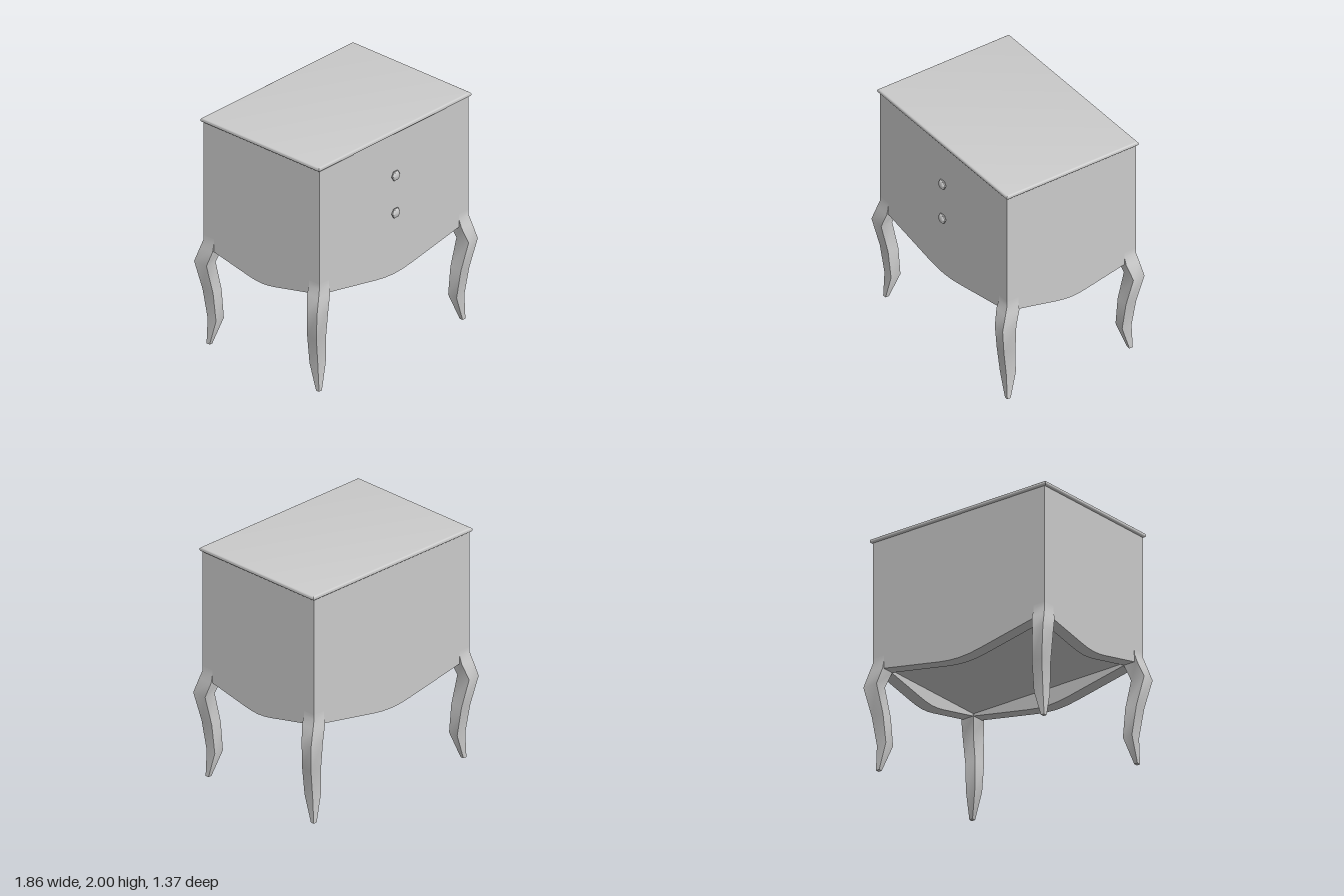
import * as THREE from 'three';
import { toCreasedNormals } from 'three/addons/utils/BufferGeometryUtils.js';

const W = 0.86, D = 0.618; // half width and half depth of the cabinet
const WALL = 0.105, CORNER_Y = 0.85, WALL_TOP = 1.975;

const material = new THREE.MeshStandardMaterial({ color: 0xcccccc });

function part(name, geometry, crease = 0.6) {
  const mesh = new THREE.Mesh(toCreasedNormals(geometry, crease), material);
  mesh.name = name;
  return mesh;
}

// Wall with a sagging apron edge; outer face lies at z = 0, thickness runs to -z
function wallGeometry(halfWidth, halfApron, lowY) {
  const drop = CORNER_Y - lowY;
  const edge = [[1, 0], [0.27, 0.83], [0.14, 0.95], [0, 1]];
  const shape = new THREE.Shape();
  shape.moveTo(-halfWidth, WALL_TOP);
  shape.lineTo(-halfWidth, CORNER_Y);
  for (const [t, f] of edge) shape.lineTo(-t * halfApron, CORNER_Y - f * drop);
  for (const [t, f] of edge.slice(0, 3).reverse()) shape.lineTo(t * halfApron, CORNER_Y - f * drop);
  shape.lineTo(halfWidth, CORNER_Y);
  shape.lineTo(halfWidth, WALL_TOP);
  return new THREE.ExtrudeGeometry(shape, { depth: WALL, bevelEnabled: false }).translate(0, 0, -WALL);
}

// Curved four-sided leg: rings of [y, outerA, innerA, outerB, innerB], measured from the cabinet corner
function legGeometry() {
  const rings = [
    [0, -0.015, -0.047, -0.018, -0.05],
    [0.22, -0.015, -0.105, -0.03, -0.12],
    [0.47, 0.022, -0.09, -0.012, -0.11],
    [0.72, 0.068, -0.063, 0.036, -0.07],
    [0.85, 0.025, -0.108, 0.014, -0.108],
    [0.92, 0.001, -0.11, 0.001, -0.11],
    [0.96, 0, -0.11, 0, -0.11],
  ];
  const positions = [], index = [];
  for (const [y, oa, ia, ob, ib] of rings) {
    positions.push(-oa, y, ob, -ia, y, ob, -ia, y, ib, -oa, y, ib);
  }
  for (let r = 0; r < rings.length - 1; r++) {
    for (let k = 0; k < 4; k++) {
      const a = r * 4 + k, b = r * 4 + (k + 1) % 4;
      index.push(a, b, b + 4, a, b + 4, a + 4);
    }
  }
  const t = (rings.length - 1) * 4;
  index.push(0, 2, 1, 0, 3, 2, t, t + 1, t + 2, t, t + 2, t + 3);
  const geometry = new THREE.BufferGeometry();
  geometry.setAttribute('position', new THREE.Float32BufferAttribute(positions, 3));
  geometry.setIndex(index);
  return geometry;
}

// Top board with a rounded edge
function topGeometry() {
  const round = 0.018, w = 0.88 - round, d = 0.633 - round;
  const shape = new THREE.Shape();
  shape.moveTo(-w, -d);
  shape.lineTo(w, -d);
  shape.lineTo(w, d);
  shape.lineTo(-w, d);
  shape.closePath();
  return new THREE.ExtrudeGeometry(shape, {
    depth: 0.002, bevelThickness: round, bevelSize: round, bevelSegments: 4,
  }).rotateX(-Math.PI / 2).translate(0, 2 - round - 0.002, 0);
}

export function createModel() {
  const model = new THREE.Group();
  model.name = 'nightstand';

  // Cabinet walls with curved aprons
  const cabinet = new THREE.Group();
  cabinet.name = 'cabinet';
  for (const side of [1, -1]) {
    const long = part(side > 0 ? 'frontWall' : 'backWall', wallGeometry(W, 0.75, 0.725));
    long.position.z = side * D;
    long.rotation.y = side > 0 ? 0 : Math.PI;
    const short = part(side > 0 ? 'leftWall' : 'rightWall', wallGeometry(D - WALL, D - WALL, 0.752));
    short.position.x = side * W;
    short.rotation.y = side * Math.PI / 2;
    cabinet.add(long, short);
  }

  // Recessed bottom panel
  const bottom = part('bottomPanel', new THREE.BoxGeometry(2 * W - 0.1, 0.03, 2 * D - 0.1));
  bottom.position.y = 0.885;
  cabinet.add(bottom, part('topBoard', topGeometry()));
  cabinet.position.x = -0.003;
  model.add(cabinet);

  // Legs, each turned a quarter from the last
  const corners = [['frontRight', -1, 1], ['frontLeft', 1, 1], ['backLeft', 1, -1], ['backRight', -1, -1]];
  corners.forEach(([name, sx, sz], i) => {
    const leg = part(name + 'Leg', legGeometry());
    leg.rotation.y = i * Math.PI / 2;
    leg.position.set(sx * W - 0.003, 0, sz * D);
    model.add(leg);
  });

  // Six-sided drawer knobs
  const profile = [[0.02, -0.005], [0.03, 0.003], [0.045, 0.012], [0.045, 0.022], [0.034, 0.033], [0, 0.038]]
    .map(([r, h]) => new THREE.Vector2(r, h));
  [['upperKnob', 1.6], ['lowerKnob', 1.27]].forEach(([name, y]) => {
    const geometry = new THREE.LatheGeometry(profile, 6).rotateY(Math.PI / 2).rotateX(Math.PI / 2);
    const knob = part(name, geometry, 0.7);
    knob.position.set(0, y, D);
    model.add(knob);
  });

  return model;
}
